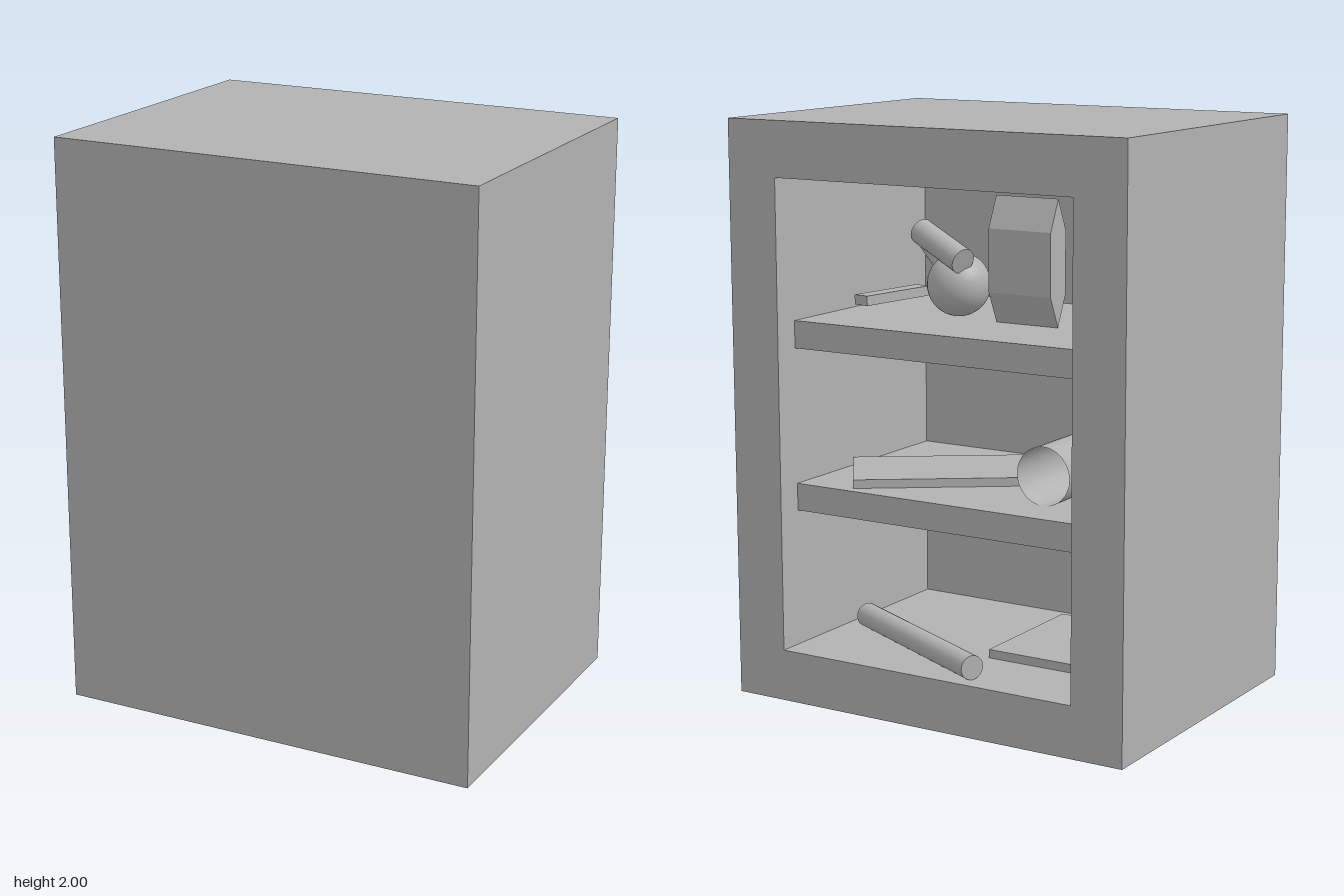
import * as THREE from 'three';

export function createModel() {
  const model = new THREE.Group();
  const grey = new THREE.MeshStandardMaterial({ color: 0xb2b2b2 });
  const greyThin = new THREE.MeshStandardMaterial({ color: 0xb2b2b2, side: THREE.DoubleSide });
  grey.name = 'grey';
  greyThin.name = 'greyOpenSurface';

  const add = (name, geometry, x = 0, y = 0, z = 0, material = grey) => {
    const mesh = new THREE.Mesh(geometry, material);
    mesh.name = name;
    mesh.position.set(x, y, z);
    model.add(mesh);
    return mesh;
  };
  // Round bar between two points
  const rod = (name, from, to, r0, r1 = r0) => {
    const a = new THREE.Vector3(...from), b = new THREE.Vector3(...to);
    const dir = b.clone().sub(a);
    const mesh = add(name, new THREE.CylinderGeometry(r1, r0, dir.length(), 24));
    mesh.position.copy(a).add(b).multiplyScalar(0.5);
    mesh.quaternion.setFromUnitVectors(new THREE.Vector3(0, 1, 0), dir.normalize());
  };
  const rectangle = (Type, x, y0, y1) => {
    const s = new Type();
    s.moveTo(-x, y0);
    s.lineTo(x, y0);
    s.lineTo(x, y1);
    s.lineTo(-x, y1);
    s.closePath();
    return s;
  };

  // Cabinet shell, open at the back, with a solid front
  const W = 0.76, D = 0.57, inner = 0.57, floorY = 0.18, wallZ = 0.33;
  const section = rectangle(THREE.Shape, W, 0, 2);
  section.holes.push(rectangle(THREE.Path, inner, floorY, 1.81));
  add('cabinetShell', new THREE.ExtrudeGeometry(section, { depth: wallZ + D, bevelEnabled: false }), 0, 0, -D);
  add('frontPanel', new THREE.BoxGeometry(W * 2, 2, D - wallZ), 0, 1, (D + wallZ) / 2);

  // Shelves
  const shelfTops = [0.752, 1.318];
  for (const top of shelfTops) {
    add('shelf', new THREE.BoxGeometry(inner * 2, 0.095, wallZ + 0.475), 0, top - 0.0475, (wallZ - 0.475) / 2);
  }

  // Bottom compartment: rod and flat board
  rod('rolledRod', [-0.16, floorY + 0.042, -0.51], [0.49, floorY + 0.042, -0.18], 0.042);
  add('flatBoard', new THREE.BoxGeometry(0.37, 0.03, 0.5), -0.265, floorY + 0.015, -0.026);

  // Middle compartment: turned board and open tube
  add('turnedBoard', new THREE.BoxGeometry(0.67, 0.03, 0.36), 0.19, shelfTops[0] + 0.015, -0.1).rotation.y = 0.61;
  add('openTube', new THREE.CylinderGeometry(0.1, 0.1, 0.4, 32, 1, true),
    -0.318, shelfTops[0] + 0.1, -0.12, greyThin).rotation.x = Math.PI / 2;

  // Top compartment: two slim six-sided blocks
  for (const x of [-0.15, -0.486]) {
    const block = new THREE.Shape();
    for (let i = 0; i < 6; i++) {
      const a = (i / 6) * Math.PI * 2;
      const p = [0.057 * Math.sin(a), 0.215 * Math.cos(a)];
      i ? block.lineTo(...p) : block.moveTo(...p);
    }
    block.closePath();
    const geometry = new THREE.ExtrudeGeometry(block, { depth: 0.24, bevelEnabled: false });
    geometry.translate(0, 0, -0.12);
    add('sixSidedBlock', geometry, x, shelfTops[1] + 0.215, -0.144).rotation.y = Math.PI / 2;
  }

  // Top compartment: round vessel with bars, and a loose stick
  add('roundVessel', new THREE.SphereGeometry(0.11, 32, 20), 0.148, shelfTops[1] + 0.11, -0.1);
  rod('vesselBar', [0.08, 1.52, -0.18], [0.3, 1.6, -0.1], 0.045);
  rod('vesselSpout', [0.15, 1.45, -0.1], [0.36, 1.57, 0], 0.05, 0.03);
  add('looseStick', new THREE.BoxGeometry(0.06, 0.035, 0.32), 0.5, shelfTops[1] + 0.03, 0.01).rotation.y = -0.15;

  return model;
}
